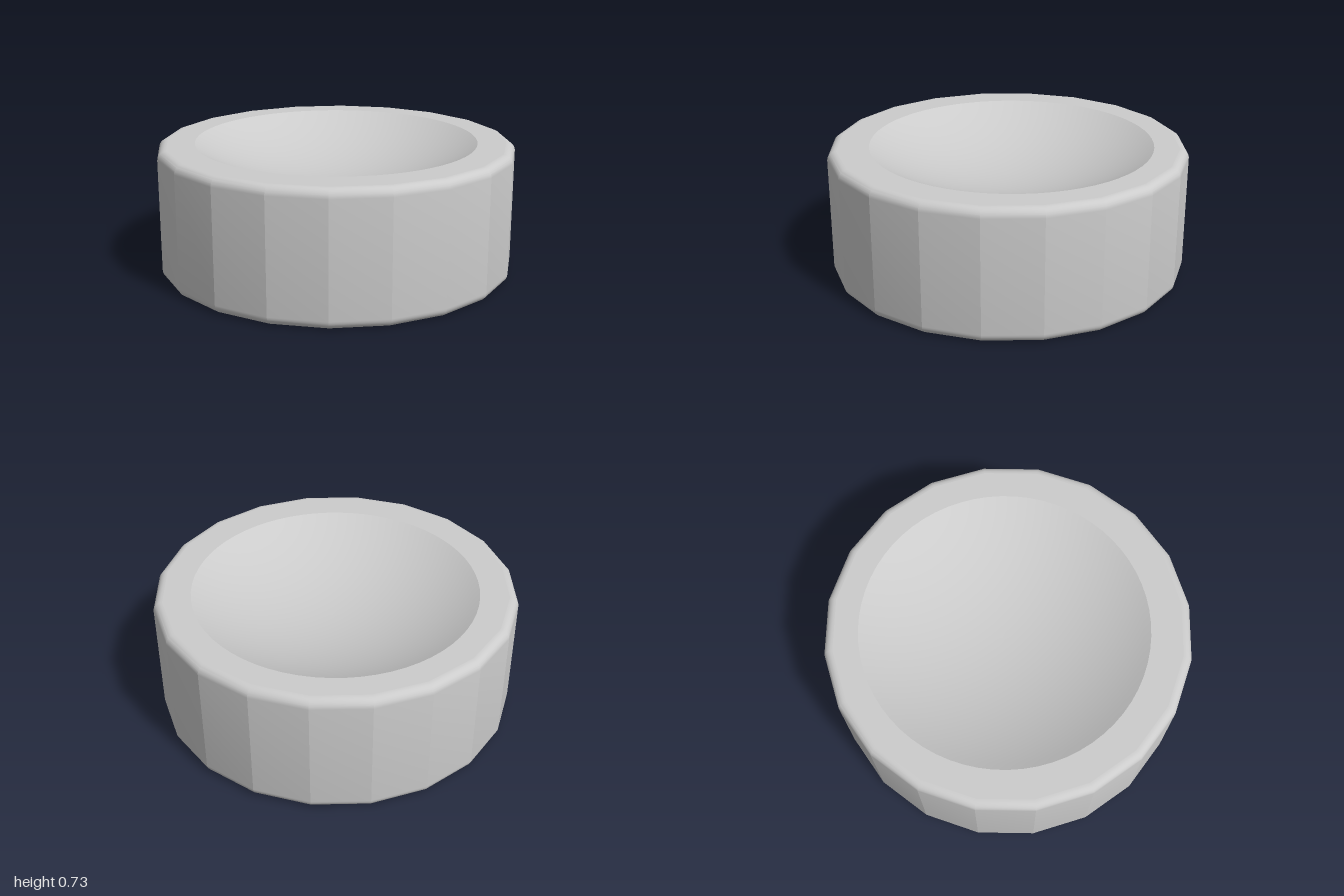
import * as THREE from 'three';
import { toCreasedNormals } from 'three/addons/utils/BufferGeometryUtils.js';

const SIDES = 20, HEIGHT = 0.725, BEVEL = 0.05;
const BOWL_RADIUS = 0.79, BOWL_DEPTH = 0.2, BOWL_Z = -0.02;

export function createModel() {
  const group = new THREE.Group();
  const material = new THREE.MeshStandardMaterial({ color: 0xcccccc });
  const add = (name, geometry) => {
    const mesh = new THREE.Mesh(geometry, material);
    mesh.name = name;
    group.add(mesh);
    return mesh;
  };

  // Faceted body: flat base, straight sides, rounded upper and lower edges
  const profile = [new THREE.Vector2(0, 0)];
  const steps = 8;
  for (const [cy, start] of [[BEVEL, -Math.PI / 2], [HEIGHT - BEVEL, 0]]) {
    for (let i = 0; i <= steps; i++) {
      const a = start + (i / steps) * Math.PI / 2;
      profile.push(new THREE.Vector2(1 - BEVEL + BEVEL * Math.cos(a), cy + BEVEL * Math.sin(a)));
    }
  }
  add('body', toCreasedNormals(new THREE.LatheGeometry(profile, SIDES), 0.28));

  // Flat top rim: polygon outside, round opening inside
  const rim = new THREE.Shape();
  for (let i = 0; i < SIDES; i++) {
    const a = (i / SIDES) * Math.PI * 2;
    const x = (1 - BEVEL) * Math.cos(a), y = (1 - BEVEL) * Math.sin(a);
    if (i) rim.lineTo(x, y); else rim.moveTo(x, y);
  }
  rim.closePath();
  rim.holes.push(new THREE.Path().absarc(0, -BOWL_Z, BOWL_RADIUS, 0, Math.PI * 2, true));
  const rimGeometry = new THREE.ShapeGeometry(rim, 32);
  rimGeometry.rotateX(-Math.PI / 2);
  add('topRim', rimGeometry).position.y = HEIGHT;

  // Shallow spherical hollow sunk into the top
  const radius = (BOWL_RADIUS ** 2 + BOWL_DEPTH ** 2) / (2 * BOWL_DEPTH);
  const sweep = Math.asin(BOWL_RADIUS / radius);
  const hollow = [];
  for (let i = 0; i <= 20; i++) {
    const a = sweep * (1 - i / 20);
    hollow.push(new THREE.Vector2(radius * Math.sin(a), radius - BOWL_DEPTH - radius * Math.cos(a)));
  }
  add('bowl', new THREE.LatheGeometry(hollow, 64)).position.set(0, HEIGHT, BOWL_Z);

  return group;
}
